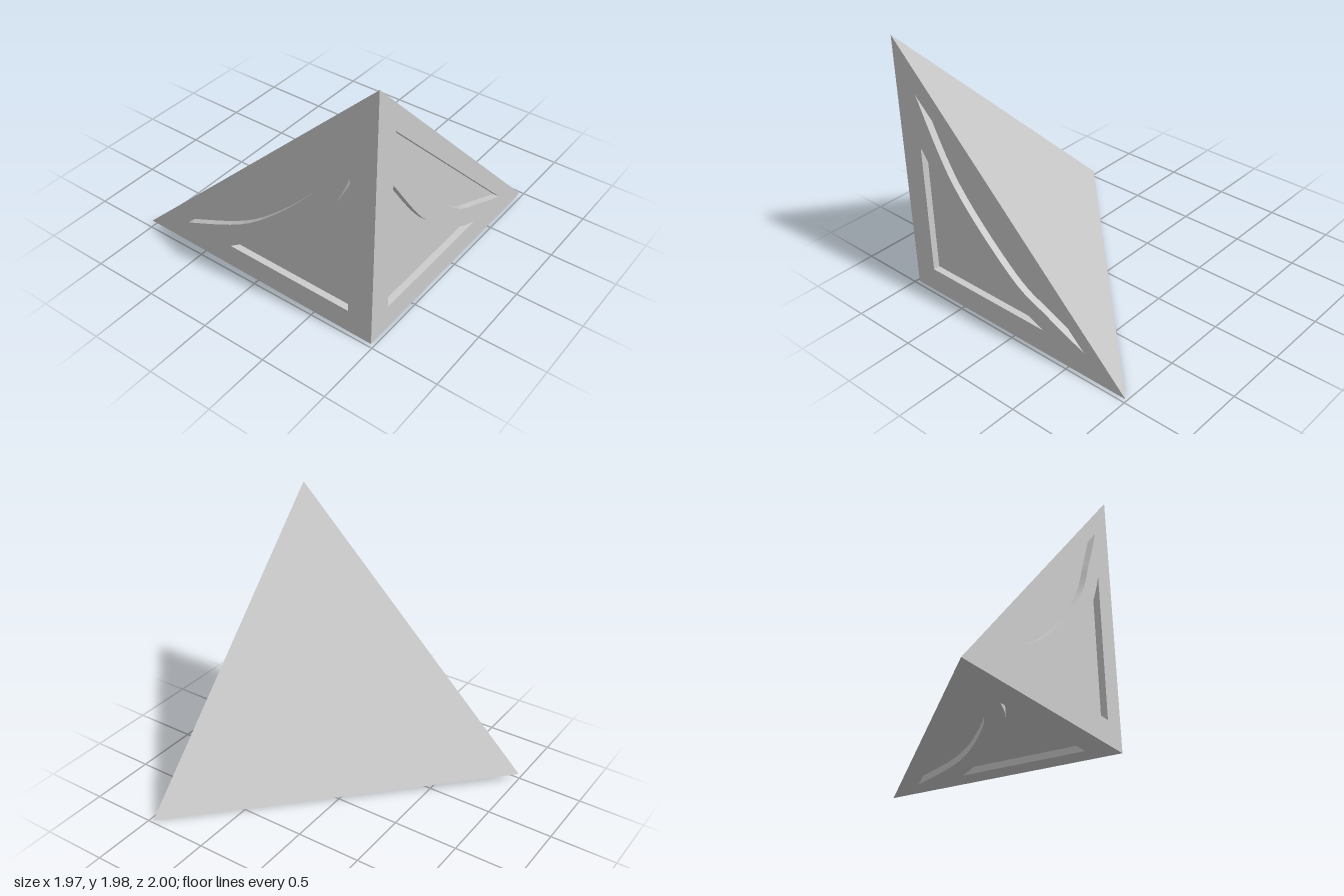
import * as THREE from 'three';

const v3 = (x, y, z) => new THREE.Vector3(x, y, z);

// Corners of the tetrahedral wedge
const CORNER = v3(-0.975, 0.003, 0.975);
const TOP = v3(-0.978, 1.98, 1);
const SIDE = v3(0.985, 0, 0.97);
const BACK = v3(-0.983, 0.05, -1);
const DEPTH = 0.05;

const material = new THREE.MeshStandardMaterial({ color: 0xcccccc });
const wallMaterial = new THREE.MeshStandardMaterial({ color: 0xcccccc, side: THREE.DoubleSide });

// Face coordinates: (0,0) at the square corner, (1,0) and (0,1) at the others
const toFace = ([x, y]) => new THREE.Vector2((x + 0.975) / 1.96, y / 1.978);
const pocket = [[-0.795, 0.19], [0.64, 0.19], [-0.795, 1.6]].map(toFace);
const curve = (points) => new THREE.SplineCurve(points.map(toFace)).getPoints(28);
const outerArc = curve([[-0.795, 1.6], [-0.49, 1.01], [0, 0.5], [0.32, 0.33], [0.64, 0.19]]);
const innerArc = curve([[0.28, 0.19], [0, 0.33], [-0.41, 0.68], [-0.795, 1.2]]);

// Side walls that drop from a closed outline down to the pocket floor
function wallStrip(outline) {
  const positions = [];
  outline.forEach((a, i) => {
    const b = outline[(i + 1) % outline.length];
    positions.push(
      a.x, a.y, 0, b.x, b.y, -DEPTH, a.x, a.y, -DEPTH,
      a.x, a.y, 0, b.x, b.y, 0, b.x, b.y, -DEPTH);
  });
  const geometry = new THREE.BufferGeometry();
  geometry.setAttribute('position', new THREE.Float32BufferAttribute(positions, 3));
  geometry.computeVertexNormals();
  return geometry;
}

// One right-angled face: rim, sunken pocket and raised crescent
function carvedFace(name, uEnd, vEnd) {
  const u = uEnd.clone().sub(CORNER);
  const v = vEnd.clone().sub(CORNER);
  const n = u.clone().cross(v).normalize();
  const place = new THREE.Matrix4().makeBasis(u, v, n).setPosition(CORNER);
  const group = new THREE.Group();
  group.name = name;
  const add = (part, geometry, mat = material) => {
    const mesh = new THREE.Mesh(geometry.applyMatrix4(place), mat);
    mesh.name = part;
    group.add(mesh);
  };

  const rim = new THREE.Shape([[0, 0], [1, 0], [0, 1]].map((p) => new THREE.Vector2(...p)));
  rim.holes.push(new THREE.Path(pocket));
  add('rim', new THREE.ShapeGeometry(rim));
  add('pocketWalls', wallStrip(pocket), wallMaterial);
  add('pocketFloor', new THREE.ShapeGeometry(new THREE.Shape(pocket)).translate(0, 0, -DEPTH));

  const crescent = new THREE.Shape([...outerArc, ...innerArc]);
  add('crescent', new THREE.ExtrudeGeometry(crescent, { depth: DEPTH, bevelEnabled: false })
    .translate(0, 0, -DEPTH));
  return group;
}

export function createModel() {
  const model = new THREE.Group();
  model.name = 'carvedCornerWedge';
  model.add(
    carvedFace('frontFace', SIDE, TOP),
    carvedFace('rightFace', TOP, BACK),
    carvedFace('bottomFace', BACK, SIDE));

  // Plain sloping face
  const slope = new THREE.BufferGeometry().setFromPoints([TOP, SIDE, BACK]);
  slope.computeVertexNormals();
  const slopeMesh = new THREE.Mesh(slope, material);
  slopeMesh.name = 'slopingFace';
  model.add(slopeMesh);
  return model;
}
